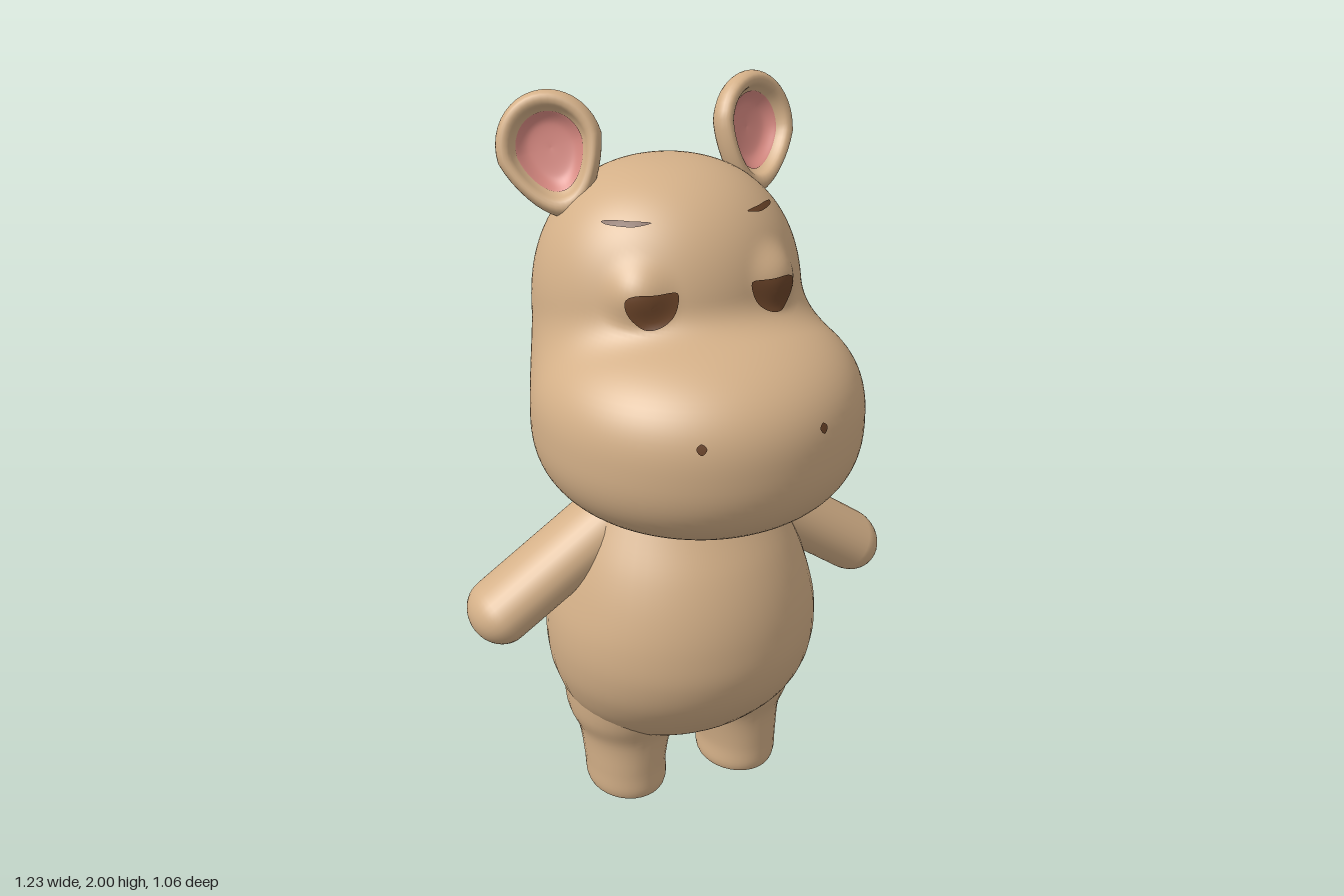
import * as THREE from 'three';
import { mergeVertices } from 'three/addons/utils/BufferGeometryUtils.js';

const skin = new THREE.MeshStandardMaterial({ color: 0xd4b088 });
skin.name = 'tan skin';
const pink = new THREE.MeshStandardMaterial({ color: 0xd98a82 });
pink.name = 'inner ear pink';
const brown = new THREE.MeshStandardMaterial({ color: 0x6b4429, side: THREE.DoubleSide });
brown.name = 'dark brown';

// Head form: cranium, wide muzzle and eye bulges, blended together
const HEAD = new THREE.Vector3(0, 1.35, -0.02);
function blob(p, cy, cz, rx, ry, rz, power) {
  const flat = Math.hypot(p.x / rx, (p.z - cz) / rz);
  const up = Math.abs((p.y - cy) / ry);
  return ((flat ** power + up ** power) ** (1 / power) - 1) * 0.36;
}
function blend(a, b, k) {
  const h = Math.max(k - Math.abs(a - b), 0) / k;
  return Math.min(a, b) - h * h * k * 0.25;
}
function headField(p) {
  const cranium = blob(p, 1.45, -0.16, 0.36, 0.385, 0.345, 2.3);
  const muzzle = blob(p, 1.22, 0.05, 0.435, 0.275, 0.445, 2.5);
  const eye = Math.hypot(Math.abs(p.x) - 0.165, p.y - 1.57, p.z - 0.08) - 0.075;
  return blend(blend(cranium, muzzle, 0.09), eye, 0.04);
}
// Point on the head surface along a direction from the head centre
function onHead(dir, lift = 0) {
  const d = dir.clone().normalize();
  const p = new THREE.Vector3();
  let lo = 0.05, hi = 0.9;
  for (let i = 0; i < 22; i++) {
    const mid = (lo + hi) / 2;
    p.copy(HEAD).addScaledVector(d, mid);
    if (headField(p) < 0) lo = mid; else hi = mid;
  }
  return p.copy(HEAD).addScaledVector(d, lo + lift);
}

function smooth(geo) {
  geo.deleteAttribute('uv');
  geo.deleteAttribute('normal');
  const merged = mergeVertices(geo, 1e-5);
  merged.computeVertexNormals();
  return merged;
}

function headGeometry() {
  const geo = new THREE.SphereGeometry(1, 112, 84);
  const pos = geo.attributes.position;
  const v = new THREE.Vector3();
  for (let i = 0; i < pos.count; i++) {
    v.copy(onHead(v.fromBufferAttribute(pos, i)));
    pos.setXYZ(i, v.x, v.y, v.z);
  }
  return smooth(geo);
}

// Thin painted patch that follows the head surface
function patch(outline, side) {
  const pts = new THREE.CatmullRomCurve3(
    outline.map(([x, y, z]) => new THREE.Vector3(x * side, y, z)), true).getPoints(32).slice(0, 32);
  const centre = pts.reduce((s, p) => s.add(p), new THREE.Vector3()).divideScalar(32);
  const rings = 5, verts = [], index = [];
  for (let r = 0; r <= rings; r++) {
    for (const p of pts) {
      const q = centre.clone().lerp(p, r / rings).sub(HEAD);
      verts.push(...onHead(q, 0.005).toArray());
    }
  }
  for (let r = 0; r < rings; r++) {
    for (let i = 0; i < 32; i++) {
      const a = r * 32 + i, b = r * 32 + (i + 1) % 32;
      const tris = [a, a + 32, b + 32, a, b + 32, b];
      index.push(...(side > 0 ? tris : tris.reverse()));
    }
  }
  const geo = new THREE.BufferGeometry();
  geo.setAttribute('position', new THREE.Float32BufferAttribute(verts, 3));
  geo.setIndex(index);
  geo.computeVertexNormals();
  return geo;
}

// Smooth upright loft through rows of [y, centre x, centre z, half width, half depth]
function loft(rows, segs = 48, steps = 6) {
  const spline = new THREE.CubicInterpolant(rows.map((_, i) => i), rows.flat(), 5);
  const n = (rows.length - 1) * steps, verts = [], index = [];
  for (let j = 0; j <= n; j++) {
    const [y, cx, cz, hx, hz] = spline.evaluate(j / steps);
    for (let i = 0; i < segs; i++) {
      const a = (i / segs) * Math.PI * 2;
      verts.push(cx + Math.sin(a) * hx, y, cz + Math.cos(a) * hz);
      if (j === n) continue;
      const p = j * segs + i, q = j * segs + (i + 1) % segs;
      index.push(p, q, q + segs, p, q + segs, p + segs);
    }
  }
  const geo = new THREE.BufferGeometry();
  geo.setAttribute('position', new THREE.Float32BufferAttribute(verts, 3));
  geo.setIndex(index);
  geo.computeVertexNormals();
  return geo;
}

// Oval ear piece turned from a profile of [radius, forward], narrowed towards its root
function earPiece(profile) {
  const curve = new THREE.SplineCurve(profile.map(([r, h]) => new THREE.Vector2(r, h)));
  const pts = curve.getPoints(28).map((p) => p.setX(Math.max(p.x, 0)));
  const geo = new THREE.LatheGeometry(pts, 40).rotateX(Math.PI / 2);
  const pos = geo.attributes.position;
  for (let i = 0; i < pos.count; i++) {
    const y = pos.getY(i);
    const taper = y < 0 ? 1 + y * 2 : 1;
    pos.setXYZ(i, pos.getX(i) * 0.96 * taper, y * (y < 0 ? 1.25 : 1.02), pos.getZ(i));
  }
  return smooth(geo);
}

export function createModel() {
  const model = new THREE.Group();
  model.name = 'hippo';
  const figure = new THREE.Group();
  figure.name = 'figure';
  figure.position.x = -0.02;
  model.add(figure);
  const add = (name, geo, mat, parent = figure) => {
    const mesh = new THREE.Mesh(geo, mat);
    mesh.name = name;
    parent.add(mesh);
    return mesh;
  };

  add('head', headGeometry(), skin);

  // Pear-shaped torso
  add('body', loft([
    [0.2, 0, -0.07, 0.001, 0.001],
    [0.22, 0, -0.07, 0.21, 0.15],
    [0.3, 0, -0.08, 0.315, 0.265],
    [0.4, 0, -0.077, 0.365, 0.342],
    [0.5, 0, -0.07, 0.383, 0.37],
    [0.6, 0, -0.065, 0.38, 0.365],
    [0.7, 0, -0.067, 0.357, 0.347],
    [0.8, 0, -0.07, 0.322, 0.31],
    [0.9, 0, -0.075, 0.275, 0.255],
    [1.0, 0, -0.08, 0.22, 0.2],
    [1.08, 0, -0.08, 0.15, 0.15],
  ]), skin);

  const tail = add('tail', new THREE.SphereGeometry(1, 24, 16), skin);
  tail.scale.set(0.05, 0.053, 0.068);
  tail.position.set(0, 0.447, -0.497);
  const stem = add('tailStem', new THREE.CylinderGeometry(0.036, 0.042, 0.12, 20), skin);
  stem.rotation.x = -Math.PI / 2;
  stem.position.set(0, 0.45, -0.43);

  for (const side of [1, -1]) {
    const label = side > 0 ? 'left' : 'right';

    // Stubby leg with a rounded sole
    add(label + 'Leg', loft([
      [0.012, 0.175 * side, -0.065, 0.001, 0.001],
      [0.012, 0.175 * side, -0.065, 0.09, 0.11],
      [0.03, 0.175 * side, -0.065, 0.113, 0.134],
      [0.1, 0.177 * side, -0.067, 0.117, 0.137],
      [0.2, 0.172 * side, -0.075, 0.134, 0.15],
      [0.28, 0.175 * side, -0.08, 0.16, 0.18],
      [0.4, 0.18 * side, -0.08, 0.165, 0.2],
    ], 32), skin);

    // Arm sloping down and out from the shoulder
    const from = new THREE.Vector3(0.16 * side, 0.915, -0.075);
    const to = new THREE.Vector3(0.53 * side, 0.657, -0.075);
    const span = to.clone().sub(from);
    const arm = add(label + 'Arm', new THREE.CapsuleGeometry(0.086, span.length(), 12, 32), skin);
    arm.position.copy(from).add(to).multiplyScalar(0.5);
    arm.rotation.z = Math.atan2(-span.x, span.y);
    arm.scale.z = 1.32;

    // Cupped ear, facing forward and slightly outward
    const ear = new THREE.Group();
    ear.name = label + 'Ear';
    ear.position.set(0.278 * side, 1.865, -0.255);
    ear.rotation.set(-0.25, 0.42 * side, -0.3 * side, 'YXZ');
    figure.add(ear);
    add(label + 'EarShell', earPiece([
      [0, -0.055], [0.07, -0.048], [0.125, -0.02], [0.143, 0.015], [0.13, 0.042],
      [0.108, 0.04], [0.093, 0.015], [0.06, -0.012], [0, -0.018],
    ]), skin, ear);
    add(label + 'InnerEar', earPiece([
      [0.09, 0.016], [0.06, -0.006], [0, -0.012],
    ]), pink, ear);

    // Sleepy half-closed eye, brow and nostril
    add(label + 'Eye', patch([
      [0.105, 1.603, 0.17], [0.165, 1.594, 0.16], [0.223, 1.575, 0.13], [0.222, 1.54, 0.135],
      [0.19, 1.508, 0.16], [0.15, 1.508, 0.17], [0.115, 1.54, 0.175],
    ], side), brown);
    add(label + 'Brow', patch([
      [0.137, 1.768, 0.068], [0.185, 1.772, 0.036], [0.232, 1.74, -0.02],
      [0.225, 1.733, -0.005], [0.18, 1.752, 0.05],
    ], side), brown);
    add(label + 'Nostril', patch([
      [0.148, 1.31, 0.46], [0.16, 1.322, 0.455], [0.172, 1.31, 0.45], [0.16, 1.296, 0.455],
    ], side), brown);
  }
  return model;
}
